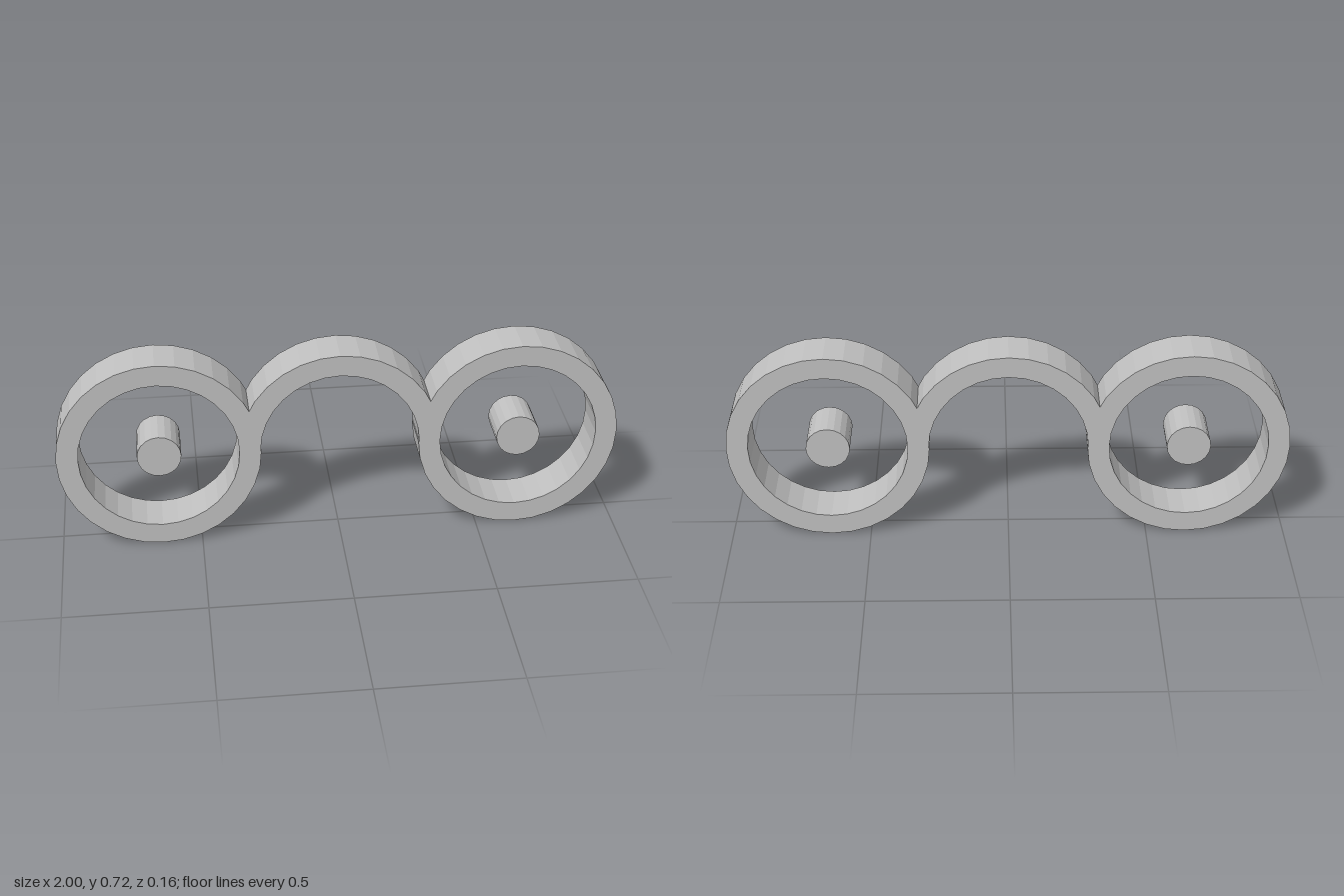
import * as THREE from 'three';

const SIDES = 32, OUTER = 0.36, INNER = 0.283, SPREAD = 0.64, MID_Y = 0.36, DEPTH = 0.16;

// Points on a 32-sided circle from step a to step b
function arc(cx, radius, a, b) {
  const points = [], dir = Math.sign(b - a);
  for (let k = a; k !== b + dir; k += dir) {
    const t = (k / SIDES) * Math.PI * 2;
    points.push(new THREE.Vector2(cx + radius * Math.cos(t), MID_Y + radius * Math.sin(t)));
  }
  return points;
}

export function createModel() {
  const group = new THREE.Group();
  const grey = new THREE.MeshStandardMaterial({ color: 0xc0c0c0, flatShading: true });
  grey.name = 'light grey';

  // Frame: two rings joined by an arched bridge, as one outline
  const notch = (x) => new THREE.Vector2(x, 0.521);
  const outline = new THREE.Shape([
    ...arc(SPREAD, OUTER, 16, 45),
    notch(SPREAD / 2),
    ...arc(0, OUTER, 3, 13),
    notch(-SPREAD / 2),
    ...arc(-SPREAD, OUTER, 3, 32),
    ...arc(0, INNER, 16, 0),
  ]);
  for (const side of [-1, 1]) {
    outline.holes.push(new THREE.Path(arc(side * SPREAD, INNER, SIDES - 1, 0)));
  }
  const frameGeometry = new THREE.ExtrudeGeometry(outline, { depth: DEPTH, bevelEnabled: false });
  frameGeometry.translate(0, 0, -DEPTH / 2);
  const frame = new THREE.Mesh(frameGeometry, grey);
  frame.name = 'frame';
  group.add(frame);

  // Free-standing pin in the middle of each ring
  const pinGeometry = new THREE.CylinderGeometry(0.078, 0.078, DEPTH, 20);
  pinGeometry.rotateX(Math.PI / 2);
  for (const side of [-1, 1]) {
    const pin = new THREE.Mesh(pinGeometry, grey);
    pin.name = side > 0 ? 'leftPin' : 'rightPin';
    pin.position.set(side * SPREAD, MID_Y, 0);
    group.add(pin);
  }
  return group;
}
